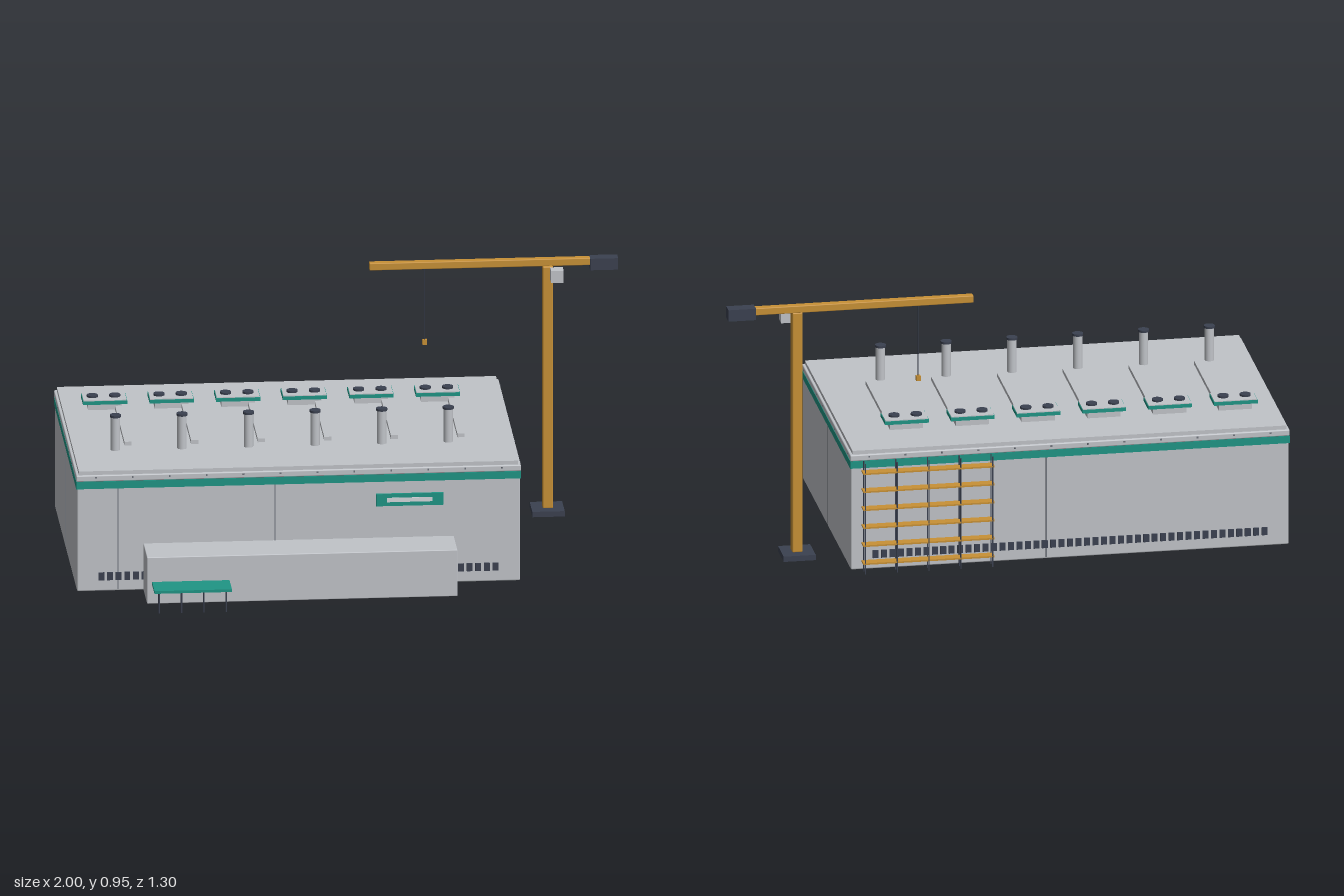
import * as THREE from 'three';
import { RoundedBoxGeometry } from 'three/addons/geometries/RoundedBoxGeometry.js';

const mat = (name, color) => {
  const m = new THREE.MeshStandardMaterial({ color });
  m.name = name;
  return m;
};

export function createModel() {
  const root = new THREE.Group();
  root.name = 'factoryHall';
  const grey = mat('wallGrey', 0xc1c4c9);
  const teal = mat('teal', 0x1f9585);
  const dark = mat('darkSlate', 0x3b4150);
  const orange = mat('craneOrange', 0xc89136);
  const seam = mat('seamGrey', 0x70757e);
  const pale = mat('paleGrey', 0xd6d9dd);

  const group = (name, parent = root) => {
    const g = new THREE.Group();
    g.name = name;
    parent.add(g);
    return g;
  };
  // Box given by its limits; bevel > 0 chamfers the edges
  const box = (name, m, [x0, x1], [y0, y1], [z0, z1], parent = root, bevel = 0) => {
    const s = [x1 - x0, y1 - y0, z1 - z0];
    const geo = bevel ? new RoundedBoxGeometry(...s, 2, bevel) : new THREE.BoxGeometry(...s);
    const mesh = new THREE.Mesh(geo, m);
    mesh.position.set((x0 + x1) / 2, (y0 + y1) / 2, (z0 + z1) / 2);
    mesh.name = name;
    parent.add(mesh);
    return mesh;
  };
  const cylinder = (name, m, r, x, [y0, y1], z, parent = root, sides = 16) => {
    const mesh = new THREE.Mesh(new THREE.CylinderGeometry(r, r, y1 - y0, sides), m);
    mesh.position.set(x, (y0 + y1) / 2, z);
    mesh.name = name;
    parent.add(mesh);
    return mesh;
  };

  // Hall: walls, coloured band, cornice and roof
  const hall = group('hall');
  box('walls', grey, [-0.997, 0.587], [0.004, 0.425], [-0.606, 0.382], hall, 0.005);
  box('colourBand', teal, [-1, 0.59], [0.388, 0.415], [-0.611, 0.386], hall);
  box('cornice', grey, [-1, 0.59], [0.415, 0.438], [-0.611, 0.386], hall, 0.004);
  box('roof', grey, [-0.99, 0.58], [0.43, 0.452], [-0.602, 0.378], hall);

  // Cornice bolts
  const bolts = group('corniceBolts', hall);
  for (let i = 0; i < 12; i++) {
    const x = -0.93 + i * 0.132;
    for (const z of [-0.611, 0.386])
      box('bolt', seam, [x - 0.003, x + 0.003], [0.427, 0.433], [z - 0.002, z + 0.002], bolts);
  }
  for (let i = 0; i < 8; i++) {
    const z = -0.56 + i * 0.128;
    for (const x of [-1, 0.59])
      box('bolt', seam, [x - 0.002, x + 0.002], [0.427, 0.433], [z - 0.003, z + 0.003], bolts);
  }

  // Wall panel seams
  const seams = group('panelSeams', hall);
  for (const x of [-0.85, -0.29])
    box('frontSeam', seam, [x - 0.002, x + 0.002], [0.01, 0.388], [0.381, 0.383], seams);
  box('backSeam', seam, [-0.122, -0.118], [0.01, 0.388], [-0.607, -0.605], seams);
  for (const x of [-0.997, 0.587])
    box('sideSeam', seam, [x - 0.001, x + 0.001], [0.01, 0.388], [-0.137, -0.133], seams);

  // Ventilation slats low on the front and back walls
  const slats = group('ventSlats');
  for (let i = 0; i < 47; i++) {
    const x = -0.92 + i * 0.0306;
    for (const z of [-0.607, 0.383])
      box('slat', dark, [x, x + 0.021], [0.045, 0.074], [z - 0.004, z + 0.004], slats);
  }

  // Low front annex and entrance canopy
  box('annex', grey, [-0.76, 0.35], [0.004, 0.178], [0.375, 0.545], root, 0.003);
  const canopy = group('canopy');
  box('canopyRoof', teal, [-0.742, -0.465], [0.076, 0.086], [0.542, 0.652], canopy);
  for (const x of [-0.725, -0.645, -0.565, -0.485])
    cylinder('canopyPost', dark, 0.003, x, [0, 0.077], 0.645, canopy, 8);

  // Wall sign frame with blank panel
  const sign = group('signPanel');
  box('signFrame', teal, [0.072, 0.312], [0.298, 0.343], [0.38, 0.391], sign);
  box('signFace', pale, [0.11, 0.272], [0.313, 0.329], [0.39, 0.393], sign);

  // Six roof lines: cooler with two fans, duct and chimney
  for (let i = 0; i < 6; i++) {
    const unit = group('roofUnit');
    unit.position.x = -0.84 + i * 0.238;
    box('coolerBody', grey, [-0.06, 0.06], [0.45, 0.476], [-0.405, -0.325], unit);
    box('coolerBand', teal, [-0.079, 0.079], [0.474, 0.487], [-0.413, -0.317], unit);
    box('coolerTop', grey, [-0.077, 0.077], [0.486, 0.49], [-0.411, -0.319], unit);
    for (const x of [-0.042, 0.038])
      cylinder('fan', dark, 0.02, x, [0.488, 0.497], -0.365, unit);
    box('duct', grey, [0.036, 0.062], [0.45, 0.466], [-0.33, 0.092], unit);
    cylinder('chimney', grey, 0.017, 0, [0.45, 0.577], 0.135, unit);
    cylinder('chimneyCap', dark, 0.02, 0, [0.575, 0.583], 0.135, unit);
  }

  // Storage rack on the back wall
  const rack = group('storageRack');
  for (let i = 0; i < 6; i++) {
    const y = 0.039 + i * 0.068;
    box('shelf', orange, [0.075, 0.55], [y - 0.003, y + 0.003], [-0.652, -0.615], rack);
  }
  for (let i = 0; i < 5; i++) {
    const x = 0.082 + i * 0.115;
    for (const z of [-0.65, -0.617])
      box('rackUpright', dark, [x - 0.002, x + 0.002], [0, 0.417], [z - 0.002, z + 0.002], rack);
  }

  // Jib crane beside the hall
  const crane = group('jibCrane');
  box('craneBase', dark, [0.69, 0.806], [0, 0.02], [-0.47, -0.354], crane);
  box('cranePost', orange, [0.73, 0.768], [0.018, 0.925], [-0.431, -0.392], crane, 0.005);
  box('craneBoom', orange, [0.112, 0.91], [0.923, 0.95], [-0.43, -0.402], crane, 0.003);
  box('counterweight', dark, [0.9, 1], [0.908, 0.951], [-0.435, -0.39], crane);
  box('winchBox', grey, [0.757, 0.802], [0.876, 0.921], [-0.396, -0.352], crane);
  cylinder('cable', dark, 0.002, 0.31, [0.65, 0.925], -0.416, crane, 6);
  box('hook', orange, [0.302, 0.318], [0.638, 0.656], [-0.424, -0.408], crane);

  return root;
}
